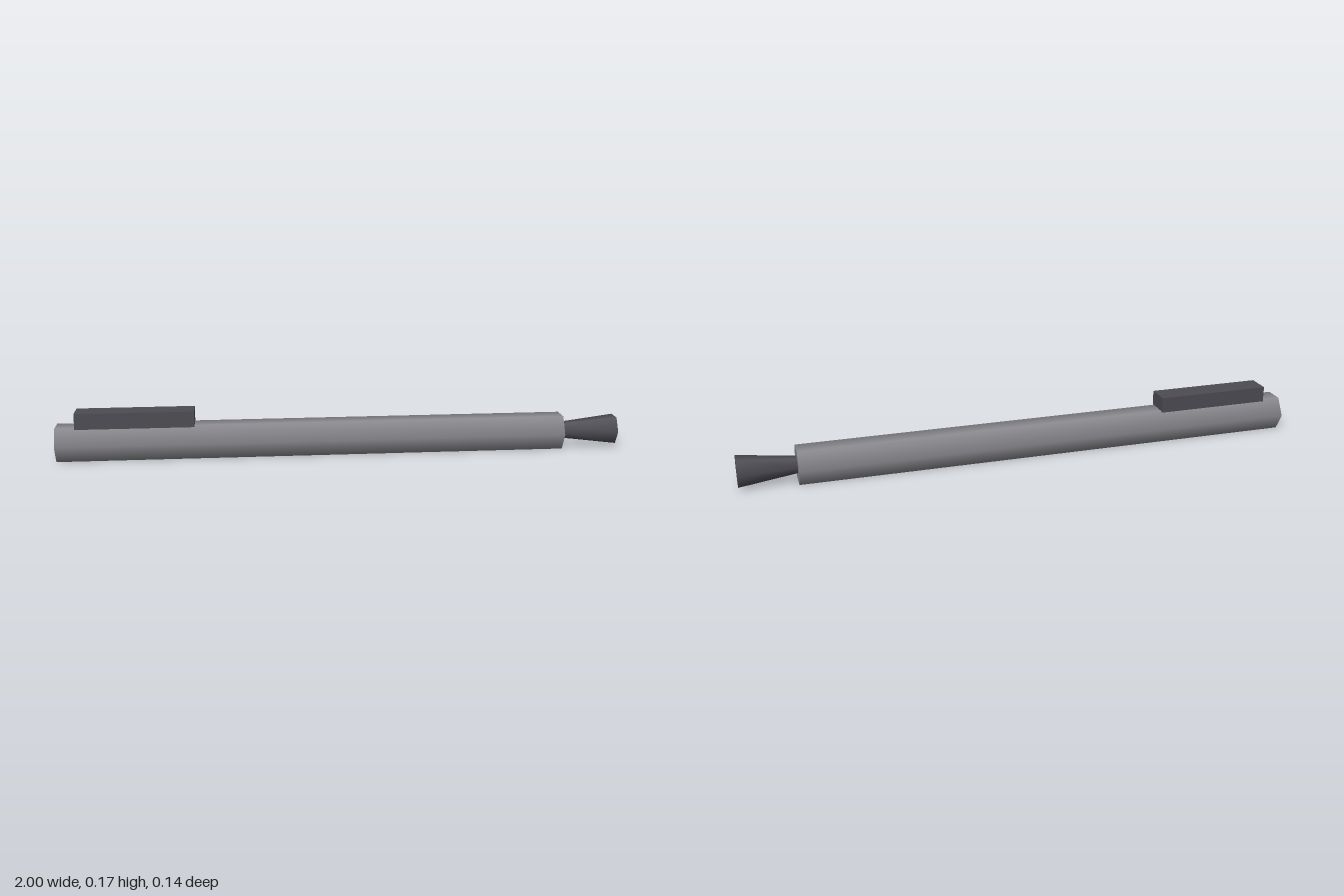
import * as THREE from 'three';

const bodyMaterial = new THREE.MeshStandardMaterial({ color: 0x85858a });
const darkMaterial = new THREE.MeshStandardMaterial({ color: 0x4b4b52 });

// Six-sided, smooth-shaded rod lying along x, flat faces up and down
function hexRod(name, startRadius, endRadius, startX, endX, y, material) {
  const geometry = new THREE.CylinderGeometry(endRadius, startRadius, endX - startX, 6);
  geometry.rotateZ(-Math.PI / 2);
  const mesh = new THREE.Mesh(geometry, material);
  mesh.name = name;
  mesh.position.set((startX + endX) / 2, y, 0);
  return mesh;
}

export function createModel() {
  const model = new THREE.Group();
  model.name = 'rod';

  // Long hexagonal barrel
  model.add(hexRod('barrel', 0.0695, 0.0695, -1, 0.8, 0.0602, bodyMaterial));

  // Flared tip widening away from the barrel
  model.add(hexRod('flaredTip', 0.03, 0.0555, 0.8, 1, 0.0617, darkMaterial));

  // Raised block on top near the other end
  const block = new THREE.Mesh(new THREE.BoxGeometry(0.412, 0.056, 0.084), darkMaterial);
  block.name = 'topBlock';
  block.position.set(-0.725, 0.144, 0.001);
  model.add(block);

  return model;
}
